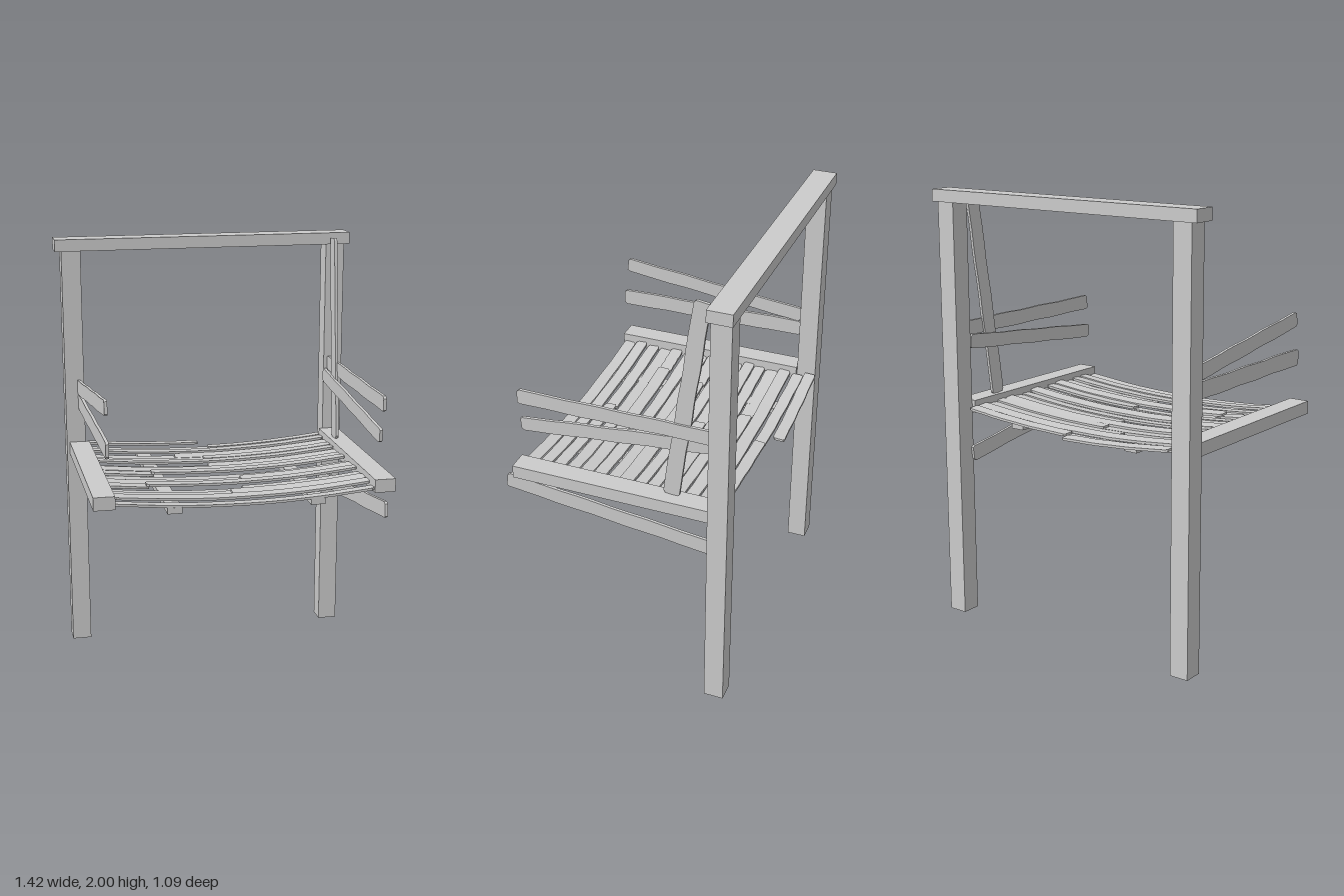
import * as THREE from 'three';

const mat = new THREE.MeshStandardMaterial({ color: 0xcccccc, flatShading: true });

function add(group, name, geometry) {
  const mesh = new THREE.Mesh(geometry, mat);
  mesh.name = name;
  group.add(mesh);
  return mesh;
}

// Square-cut beam given by its min and max corners
function beam(group, name, [x0, y0, z0], [x1, y1, z1]) {
  const mesh = add(group, name, new THREE.BoxGeometry(x1 - x0, y1 - y0, z1 - z0));
  mesh.position.set((x0 + x1) / 2, (y0 + y1) / 2, (z0 + z1) / 2);
}

// Rough-sawn board along x: wavy long edges and clipped corners
function board(length, width, thick, seed) {
  const n = 12, h = length / 2;
  const geo = new THREE.BoxGeometry(length, thick, width, n, 1, 1);
  const p = geo.attributes.position;
  for (let i = 0; i < p.count; i++) {
    let k = Math.round((p.getX(i) / length + 0.5) * n);
    const side = Math.sign(p.getZ(i));
    const end = k === 0 || k === n;
    let x = p.getX(i);
    if (k === 1) x = -h + 0.012;
    if (k === n - 1) x = h - 0.012;
    const wave = 0.05 * Math.sin(k * 1.7 + seed * 2.3 + side);
    p.setX(i, x);
    p.setZ(i, p.getZ(i) * ((end ? 0.74 : 0.97) + wave));
  }
  return geo;
}

// Thin upright slat running between two points
function slat(group, name, a, b, width, seed) {
  const from = new THREE.Vector3(...a), to = new THREE.Vector3(...b);
  const dir = to.clone().sub(from);
  const mesh = add(group, name, board(dir.length(), width, 0.014, seed));
  mesh.position.copy(from).add(to).multiplyScalar(0.5);
  dir.normalize();
  const face = new THREE.Vector3(1, 0, 0).addScaledVector(dir, -dir.x).normalize();
  const across = new THREE.Vector3().crossVectors(dir, face);
  mesh.quaternion.setFromRotationMatrix(new THREE.Matrix4().makeBasis(dir, face, across));
}

// Seat board that sags towards the middle
function seatBoard(group, x0, x1, z, width, lift, skew, seed) {
  const geo = board(x1 - x0, width, 0.011, seed);
  geo.translate((x0 + x1) / 2, 0, 0);
  const p = geo.attributes.position;
  for (let i = 0; i < p.count; i++) {
    const x = p.getX(i), u = x / 0.58;
    const tilt = 0.08 * Math.sin(seed * 1.9) * p.getZ(i);
    p.setY(i, p.getY(i) + 0.988 - 0.034 * (1 - u * u) + lift + tilt);
    p.setZ(i, p.getZ(i) + z + skew * x);
  }
  geo.computeVertexNormals();
  add(group, 'seatBoard', geo);
}

export function createModel() {
  const root = new THREE.Group();
  root.name = 'brokenChair';

  // Frame: two posts, top beam, seat rails and the joists below the seat
  const frame = new THREE.Group();
  frame.name = 'frame';
  root.add(frame);
  for (const s of [-1, 1]) {
    const span = (a, b) => (s < 0 ? [-b, -a] : [a, b]);
    const [p0, p1] = span(0.595, 0.685);
    beam(frame, 'post', [p0, 0, -0.52], [p1, 1.945, -0.43]);
    const [r0, r1] = span(0.577, 0.672);
    beam(frame, 'seatRail', [r0, 0.965, -0.43], [r1, 1.025, 0.48]);
    const [j0, j1] = span(0.287, 0.352);
    beam(frame, 'seatJoist', [j0, 0.928, -0.43], [j1, 0.956, 0.475]);
  }
  beam(frame, 'topBeam', [-0.715, 1.945, -0.53], [0.71, 2, -0.42]);

  // Seat rows: centre z, width, where the row is split (null = whole), skew
  const seat = new THREE.Group();
  seat.name = 'seat';
  root.add(seat);
  const rows = [
    [-0.44, 0.055, 0.01, 0], [-0.376, 0.06, null, -0.006], [-0.308, 0.063, -0.18, 0],
    [-0.247, 0.055, -0.05, -0.004], [-0.192, 0.055, null, 0], [-0.128, 0.058, -0.05, 0],
    [-0.072, 0.056, null, 0.004], [-0.008, 0.064, -0.345, 0], [0.058, 0.056, null, 0],
    [0.12, 0.06, 0.05, 0], [0.184, 0.06, -0.4, -0.01], [0.252, 0.057, 0.03, 0],
    [0.316, 0.06, -0.035, 0], [0.378, 0.056, null, 0], [0.447, 0.057, null, 0.004],
  ];
  rows.forEach(([z, w, split, skew], i) => {
    const lift = 0.007 * Math.sin(i * 2.1);
    if (split === null) {
      seatBoard(seat, -0.577, 0.577, z, w, lift, skew, i);
    } else {
      seatBoard(seat, -0.577, split + 0.01, z, w, lift - 0.005, skew, i);
      seatBoard(seat, split, 0.577, z, w, lift + 0.005, skew, i + 0.5);
    }
  });
  // Loose half board at the back edge
  seatBoard(seat, -0.577, -0.03, -0.517, 0.055, 0.012, -0.03, 17);

  // Side slats: arms on both sides, leaning slat and low slat on the left
  const slats = new THREE.Group();
  slats.name = 'sideSlats';
  root.add(slats);
  slat(slats, 'rightUpperArmSlat', [-0.606, 1.407, 0.46], [-0.62, 1.295, -0.43], 0.07, 1);
  slat(slats, 'rightLowerArmSlat', [-0.606, 1.227, 0.48], [-0.618, 1.225, -0.43], 0.077, 2);
  slat(slats, 'leftUpperArmSlat', [0.617, 1.36, 0.46], [0.62, 1.362, -0.43], 0.07, 3);
  slat(slats, 'leftLowerArmSlat', [0.605, 1.216, 0.455], [0.598, 1.302, -0.43], 0.067, 4);
  slat(slats, 'leaningSlat', [0.606, 1.025, -0.24], [0.617, 1.98, -0.375], 0.074, 5);
  slat(slats, 'leftLowSlat', [0.612, 0.902, 0.54], [0.59, 0.77, -0.44], 0.074, 6);
  return root;
}
